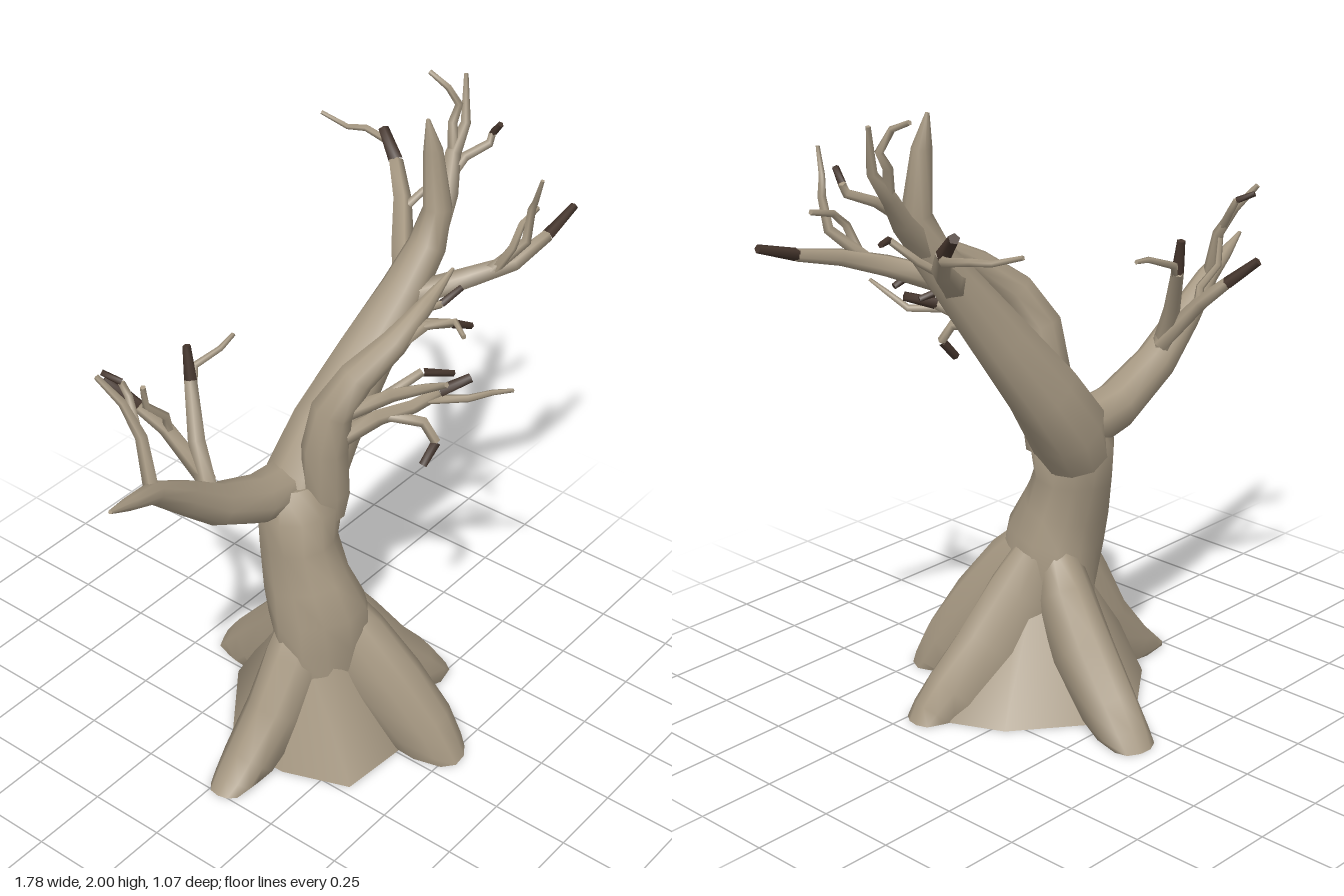
import * as THREE from 'three';

const bark = new THREE.MeshStandardMaterial({ color: 0xa79983, side: THREE.DoubleSide });
bark.name = 'bark';
const darkBark = new THREE.MeshStandardMaterial({ color: 0x46362d });
darkBark.name = 'darkBark';

// Tapered limb through [x, y, z, radius] points. knots adds gnarled bulges,
// ref sets which way the cross-section faces, deep stretches its far side.
function limbGeometry(pts, sides, { knots = 0, ref = [0.3, 0, 1], deep = 1 } = {}) {
  const P = pts.map((p) => new THREE.Vector3(p[0], p[1], p[2]));
  const pos = [], idx = [];
  let n = new THREE.Vector3(...ref);
  const last = P.length - 1;
  const push = (v) => pos.push(v.x, Math.max(0, v.y), v.z);
  P.forEach((p, i) => {
    const t = P[Math.min(i + 1, last)].clone().sub(P[Math.max(i - 1, 0)]).normalize();
    n = n.clone().addScaledVector(t, -n.dot(t)).normalize();
    const b = t.clone().cross(n);
    for (let j = 0; j < sides; j++) {
      const a = (j / sides) * Math.PI * 2;
      const r = pts[i][3] * (1 + knots * Math.sin(3 * a + i * 1.1));
      const c = Math.cos(a) * (Math.cos(a) < 0 ? deep : 1);
      push(p.clone().addScaledVector(n, c * r).addScaledVector(b, Math.sin(a) * r));
    }
  });
  for (let i = 0; i < last; i++) {
    for (let j = 0; j < sides; j++) {
      const k = (j + 1) % sides;
      const a = i * sides + j, b = i * sides + k;
      idx.push(a, b, a + sides, b, b + sides, a + sides);
    }
  }
  // Separate end cap
  const start = pos.length / 3;
  for (let j = 0; j < sides; j++) pos.push(...pos.slice((last * sides + j) * 3, (last * sides + j) * 3 + 3));
  push(P[last]);
  for (let j = 0; j < sides; j++) idx.push(start + sides, start + j, start + (j + 1) % sides);
  const g = new THREE.BufferGeometry();
  g.setAttribute('position', new THREE.Float32BufferAttribute(pos, 3));
  g.setIndex(idx);
  g.computeVertexNormals();
  return g;
}

// Open cone from a ground outline [x, z] up to a ring around the trunk
function skirtGeometry(outline, height, cx, cz, r) {
  const pos = [], idx = [];
  const count = outline.length;
  for (const [x, z] of outline) pos.push(x, 0, z);
  for (const [x, z] of outline) {
    const d = Math.hypot(x - cx, z - cz);
    pos.push(cx + ((x - cx) / d) * r, height, cz + ((z - cz) / d) * r);
  }
  for (let i = 0; i < count; i++) {
    const k = (i + 1) % count;
    idx.push(i, k, i + count, k, k + count, i + count);
  }
  const g = new THREE.BufferGeometry();
  g.setAttribute('position', new THREE.Float32BufferAttribute(pos, 3));
  g.setIndex(idx);
  g.computeVertexNormals();
  return g;
}

export function createModel() {
  const tree = new THREE.Group();
  tree.name = 'bareTree';
  const add = (name, geometry, material = bark) => {
    const m = new THREE.Mesh(geometry, material);
    m.name = name;
    tree.add(m);
  };
  const limb = (name, pts, sides = 9) => add(name, limbGeometry(pts, sides, { knots: 0.04 }));
  const root = (name, pts) => add(name, limbGeometry(pts, 10, { knots: 0.05, ref: [0, 1, 0], deep: 2 }));

  // Thin twig, tapering evenly; broken twigs end in a dark segment
  const twig = (name, r0, r1, pts, broken = false) => {
    const q = pts.map((p, i) => [...p, r0 + (r1 - r0) * (i / (pts.length - 1))]);
    add(name, limbGeometry(broken ? q.slice(0, -1) : q, 5));
    if (broken) add(name + 'End', limbGeometry(q.slice(-2), 5), darkBark);
  };

  // Trunk
  add('trunk', limbGeometry([
    [-0.04, 0.3, 0.08, 0.15], [-0.045, 0.42, 0.085, 0.157], [-0.055, 0.52, 0.08, 0.152],
    [-0.07, 0.62, 0.055, 0.135], [-0.065, 0.74, 0.015, 0.122], [-0.06, 0.86, 0.005, 0.132],
    [-0.05, 0.93, -0.015, 0.085],
  ], 12, { knots: 0.07 }));

  // Sloping skirt between the roots, open underneath; outline runs anticlockwise from above
  add('rootSkirt', skirtGeometry([[-0.3, 0.13], [-0.22, 0.34], [0.02, 0.36], [0.42, 0.22],
    [0.3, -0.04], [-0.02, -0.29], [-0.3, -0.08]], 0.42, -0.04, 0.07, 0.12));

  // Four buttress roots, deep-bodied towards the trunk
  root('frontRoot', [[-0.01, 0.5, 0.12, 0.075], [0.01, 0.41, 0.185, 0.095], [0.05, 0.25, 0.3, 0.098],
    [0.085, 0.1, 0.4, 0.092], [0.095, 0.02, 0.445, 0.085], [0.1, -0.07, 0.465, 0.08]]);
  root('backRoot', [[0, 0.5, 0.02, 0.06], [0.03, 0.38, -0.05, 0.085], [0.055, 0.23, -0.155, 0.092],
    [0.085, 0.09, -0.285, 0.085], [0.095, 0.02, -0.345, 0.078], [0.1, -0.07, -0.38, 0.07]]);
  root('rightRoot', [[-0.1, 0.48, 0.06, 0.07], [-0.14, 0.35, 0.06, 0.1], [-0.24, 0.18, 0.05, 0.094],
    [-0.36, 0.05, 0.04, 0.08], [-0.42, 0, 0.04, 0.07], [-0.465, -0.07, 0.04, 0.055]]);
  root('leftRoot', [[0.04, 0.48, 0.07, 0.07], [0.09, 0.36, 0.1, 0.095], [0.19, 0.2, 0.14, 0.1],
    [0.31, 0.07, 0.18, 0.09], [0.365, 0.01, 0.2, 0.075], [0.405, -0.07, 0.2, 0.06]]);

  // Main limbs
  limb('leftLimb', [[-0.04, 0.82, -0.02, 0.11], [0.01, 0.92, -0.03, 0.125], [0.11, 1.06, -0.02, 0.112],
    [0.25, 1.25, 0.015, 0.092], [0.38, 1.44, 0.06, 0.072], [0.47, 1.56, 0.075, 0.06],
    [0.515, 1.67, 0.075, 0.045], [0.505, 1.86, 0.06, 0.03], [0.495, 1.96, 0.045, 0.006]], 10);
  limb('rightLimb', [[0, 0.92, -0.05, 0.07], [-0.08, 0.92, -0.045, 0.08], [-0.2, 0.94, -0.045, 0.076],
    [-0.38, 1.03, -0.045, 0.066], [-0.52, 1.14, -0.04, 0.052], [-0.66, 1.245, -0.025, 0.034],
    [-0.78, 1.29, 0, 0.022], [-0.885, 1.333, 0.025, 0.006]]);
  limb('frontLimb', [[0.01, 0.82, 0.07, 0.05], [0, 0.92, 0.065, 0.075], [-0.005, 1.08, 0.065, 0.072],
    [0, 1.22, 0.09, 0.065], [0.05, 1.33, 0.14, 0.056], [0.15, 1.42, 0.195, 0.044],
    [0.28, 1.5, 0.215, 0.026], [0.41, 1.56, 0.215, 0.005]]);

  // Twigs on the right limb
  twig('rightOuterTwig', 0.024, 0.009, [[-0.66, 1.24, -0.03], [-0.64, 1.4, -0.08], [-0.645, 1.49, -0.14], [-0.68, 1.57, -0.2]]);
  twig('rightOuterFork', 0.014, 0.009, [[-0.64, 1.43, -0.1], [-0.61, 1.49, -0.15], [-0.615, 1.53, -0.17], [-0.64, 1.555, -0.22]], true);
  twig('rightMiddleTwig', 0.034, 0.013, [[-0.4, 1.06, -0.05], [-0.37, 1.22, -0.12], [-0.31, 1.37, -0.19], [-0.3, 1.475, -0.21]], true);
  twig('rightMiddleFork', 0.015, 0.007, [[-0.33, 1.33, -0.17], [-0.28, 1.4, -0.2], [-0.2, 1.43, -0.17], [-0.13, 1.44, -0.18]]);
  twig('rightBackTwig', 0.03, 0.015, [[-0.38, 1.1, -0.07], [-0.41, 1.25, -0.2], [-0.45, 1.32, -0.27], [-0.485, 1.4, -0.36]], true);
  twig('rightBackFork', 0.016, 0.009, [[-0.41, 1.24, -0.19], [-0.42, 1.3, -0.19], [-0.48, 1.36, -0.21], [-0.5, 1.44, -0.2]]);

  // Twigs on the left limb
  twig('leftFrontTwig', 0.04, 0.013, [[0.38, 1.44, 0.1], [0.5, 1.49, 0.22], [0.6, 1.52, 0.3], [0.75, 1.555, 0.32], [0.885, 1.6, 0.325]], true);
  twig('leftFrontFork', 0.02, 0.006, [[0.54, 1.51, 0.26], [0.62, 1.6, 0.33], [0.64, 1.7, 0.33], [0.61, 1.75, 0.36], [0.6, 1.83, 0.385]]);
  twig('leftFrontSpur', 0.016, 0.009, [[0.55, 1.51, 0.27], [0.56, 1.6, 0.32], [0.62, 1.65, 0.31], [0.7, 1.67, 0.31]]);
  twig('leftBackTwig', 0.044, 0.017, [[0.4, 1.44, 0.05], [0.5, 1.49, -0.04], [0.63, 1.57, -0.14], [0.7, 1.65, -0.22], [0.74, 1.72, -0.3]], true);
  twig('leftBackFork', 0.016, 0.007, [[0.68, 1.63, -0.2], [0.77, 1.66, -0.29], [0.77, 1.68, -0.39], [0.74, 1.68, -0.44], [0.72, 1.71, -0.53]]);
  twig('leftBackSpur', 0.014, 0.009, [[0.6, 1.55, -0.12], [0.67, 1.6, -0.09], [0.72, 1.66, -0.03], [0.77, 1.66, -0.05]], true);
  twig('leftTopTwig', 0.044, 0.007, [[0.5, 1.57, 0.07], [0.6, 1.67, 0.05], [0.68, 1.76, 0.01], [0.74, 1.84, 0.01], [0.775, 1.98, -0.02]]);
  twig('leftTopFork', 0.018, 0.008, [[0.68, 1.76, 0.01], [0.7, 1.85, -0.01], [0.73, 1.9, -0.01], [0.7, 1.96, -0.03], [0.7, 1.99, -0.1]]);
  twig('leftTopSpur', 0.018, 0.01, [[0.63, 1.7, 0.03], [0.7, 1.75, 0.04], [0.77, 1.78, 0.08], [0.785, 1.81, 0.08], [0.78, 1.85, 0.11]], true);

  // Twigs on the front limb
  twig('frontTwig', 0.03, 0.015, [[0.01, 1.12, 0.11], [0.08, 1.2, 0.2], [0.14, 1.24, 0.28], [0.2, 1.28, 0.33], [0.28, 1.31, 0.385]], true);
  twig('frontFork', 0.015, 0.006, [[0.17, 1.26, 0.31], [0.25, 1.26, 0.4], [0.27, 1.3, 0.47], [0.28, 1.33, 0.535]]);
  twig('frontDroopingTwig', 0.019, 0.013, [[0.09, 1.21, 0.22], [0.14, 1.2, 0.32], [0.15, 1.14, 0.36], [0.1, 1.08, 0.35]], true);
  twig('frontUpperTwig', 0.028, 0.009, [[0.02, 1.22, 0.13], [0.09, 1.29, 0.24], [0.13, 1.33, 0.33], [0.12, 1.38, 0.41]]);
  twig('frontUpperFork', 0.017, 0.01, [[0.08, 1.28, 0.22], [0.18, 1.34, 0.28], [0.27, 1.31, 0.33]], true);
  twig('frontEndTwig', 0.024, 0.01, [[0.13, 1.41, 0.2], [0.25, 1.455, 0.24], [0.33, 1.43, 0.27], [0.41, 1.39, 0.29]], true);
  twig('frontEndFork', 0.015, 0.008, [[0.24, 1.455, 0.24], [0.28, 1.48, 0.32], [0.24, 1.47, 0.38]]);
  twig('frontEndSpur', 0.015, 0.01, [[0.26, 1.49, 0.21], [0.32, 1.49, 0.24], [0.38, 1.53, 0.27]], true);

  return tree;
}
